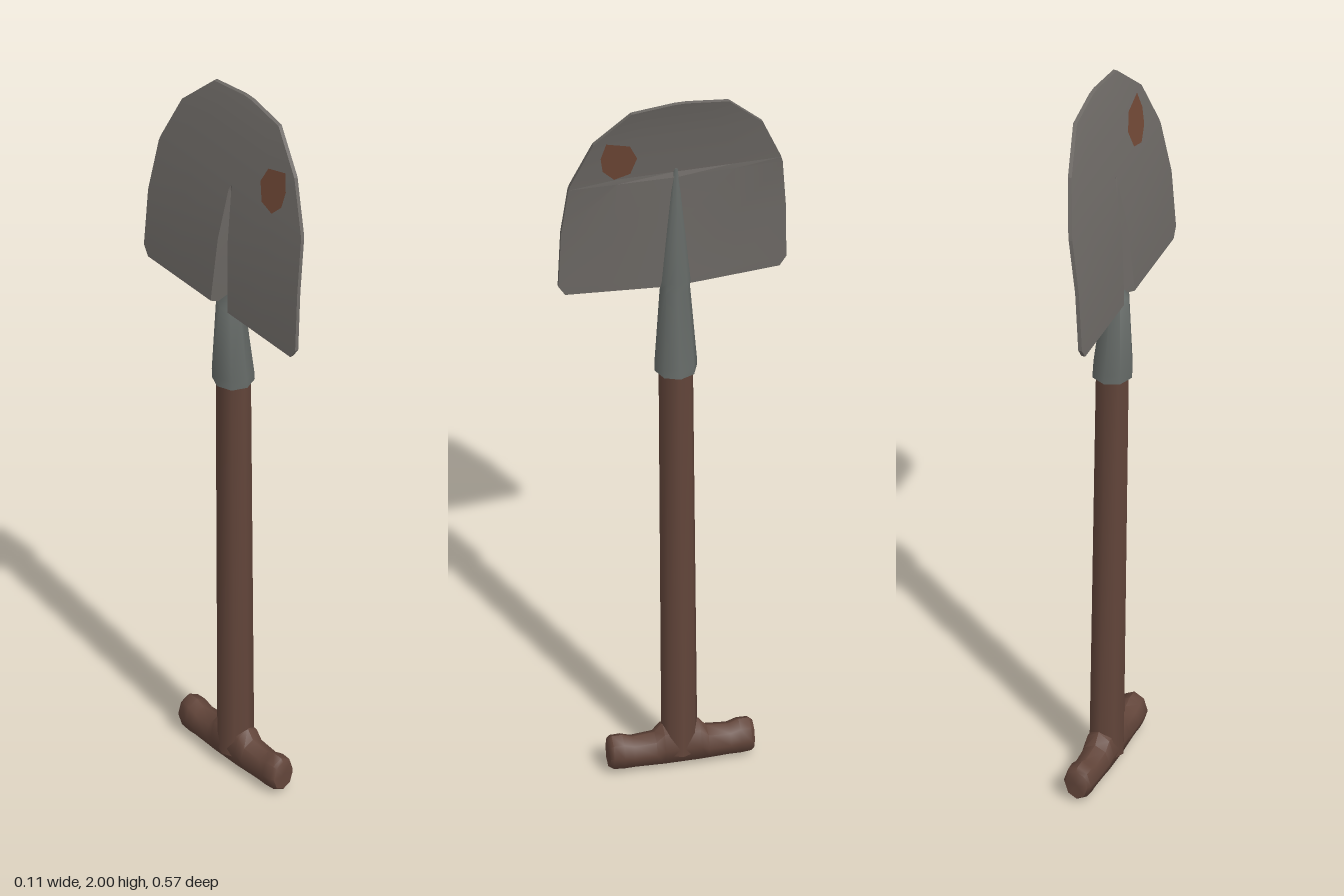
import * as THREE from 'three';
import { toCreasedNormals } from 'three/addons/utils/BufferGeometryUtils.js';

const flat = (name, color) => {
  const m = new THREE.MeshStandardMaterial({ color });
  m.name = name;
  return m;
};

// Skin a list of equal-length rings and close both ends.
function loft(rings, crease) {
  const n = rings[0].length, last = rings.length - 1;
  const pos = rings.flat(2), index = [];
  for (let i = 0; i < last; i++) {
    for (let j = 0; j < n; j++) {
      const a = i * n + j, b = i * n + (j + 1) % n;
      index.push(a, a + n, b, b, a + n, b + n);
    }
  }
  for (const i of [0, last]) {
    const c = pos.length / 3, p = rings[i][0], q = rings[i][n / 2];
    pos.push(...p.map((v, k) => (v + q[k]) / 2));
    for (let j = 0; j < n; j++) {
      const a = i * n + j, b = i * n + (j + 1) % n;
      index.push(c, i ? b : a, i ? a : b);
    }
  }
  const g = new THREE.BufferGeometry();
  g.setAttribute('position', new THREE.Float32BufferAttribute(pos, 3));
  g.setIndex(index);
  return toCreasedNormals(g, crease);
}

// Eight points round an oval, placed by the callback.
const oval = (place) => Array.from({ length: 8 }, (_, k) =>
  place(Math.cos(k * Math.PI / 4), Math.sin(k * Math.PI / 4)));

// Blade rows: y, half width, mid x, front fold, groove half width, groove depth
const bladeRows = [
  [1.408, 0.268, -0.045, 0.025, 0.032, 0.03],
  [1.435, 0.285, -0.044, 0.025, 0.03, 0.03],
  [1.6, 0.281, -0.034, 0.02, 0.018, 0.02],
  [1.745, 0.268, -0.011, 0.006, 0.005, 0.004],
  [1.76, 0.264, -0.0083, 0, 0.005, 0],
  [1.89, 0.212, 0.0155, 0, 0.005, 0],
  [1.985, 0.122, 0.041, 0, 0.005, 0],
  [2.0, 0.015, 0.046, 0, 0.005, 0],
];

function bladeRing([y, w, x, fold, groove, depth]) {
  const t = 0.005, g = Math.min(groove, w * 0.3);
  const front = (z) => [x + t + fold * (1 - Math.abs(z) / w), y, z];
  const back = (z) => [x - t + (z === 0 ? depth : 0), y, z];
  const m = w * 0.55;
  return [
    ...[0, g, m, w].map(front),
    ...[w, m, g, 0, -g, -m, -w].map(back),
    ...[-w, -m, -g].map(front),
  ];
}

export function createModel() {
  const group = new THREE.Group();
  group.name = 'shovel';
  const steel = flat('blade steel', 0x6e6a66);
  const socketSteel = flat('socket steel', 0x666b68);
  const wood = flat('brown wood', 0x62453a);
  const rust = flat('rust', 0x704836);
  rust.side = THREE.DoubleSide;

  const add = (name, geometry, material) => {
    const mesh = new THREE.Mesh(geometry, material);
    mesh.name = name;
    group.add(mesh);
  };

  add('blade', loft(bladeRows.map(bladeRing), 0.13), steel);

  // Socket tapering into the ridge of the blade: y, half depth, front x, back x
  const socketRows = [
    [1.17, 0.053, 0.047, -0.057],
    [1.195, 0.053, 0.045, -0.057],
    [1.405, 0.038, 0.018, -0.047],
    [1.435, 0.036, 0.016, -0.018],
    [1.6, 0.021, 0.009, -0.015],
    [1.77, 0.005, 0.001, -0.008],
  ];
  add('socket', loft(socketRows.map(([y, w, f, b]) => oval((c, s) =>
    [(f + b) / 2 + c * (f - b) / 2, y, s * w])), 0.95), socketSteel);

  // Slightly leaning shaft: y, radius, centre x, centre z
  const shaftRows = [[0.04, 0.045, 0.008, -0.006], [1.2, 0.043, -0.005, 0]];
  add('shaft', loft(shaftRows.map(([y, r, x, z]) => oval((c, s) =>
    [x + c * r, y, z + s * r])), 0.95), wood);

  // Cross grip flaring at its ends and into the shaft: z, top y, bottom y, half width
  const gripRows = [
    [0.18, 0.092, 0.012, 0.03],
    [0.172, 0.1, 0.006, 0.036],
    [0.145, 0.1, 0.004, 0.038],
    [0.12, 0.09, 0.006, 0.037],
    [0.065, 0.095, 0.004, 0.039],
    [0.045, 0.12, 0, 0.041],
  ];
  const mirrored = gripRows.map(([z, ...rest]) => [-z, ...rest]).reverse();
  add('crossGrip', loft([...gripRows, ...mirrored].map(([z, t, b, w]) => oval((c, s) =>
    [0.009 + c * w, (t + b) / 2 + s * (t - b) / 2, z - 0.008])), 0.95), wood);

  // Rust patch on both faces of the blade, following its lean
  const outline = [[0.18, 1.888], [0.12, 1.87], [0.1, 1.825], [0.115, 1.775],
    [0.155, 1.762], [0.185, 1.795], [0.192, 1.84]];
  const shape = new THREE.Shape(outline.map(([z, y]) => new THREE.Vector2(z, y)));
  for (const [name, offset] of [['rustFront', 0.0065], ['rustBack', -0.0065]]) {
    const g = new THREE.ShapeGeometry(shape);
    const p = g.attributes.position;
    for (let i = 0; i < p.count; i++) {
      const z = p.getX(i), y = p.getY(i);
      p.setXYZ(i, -0.0083 + (y - 1.76) * 0.183 + offset, y, z);
    }
    // Face the patch outward on each side
    if (offset > 0) g.setIndex([...g.index.array].reverse());
    g.computeVertexNormals();
    add(name, g, rust);
  }

  group.rotation.y = -0.034;
  return group;
}
